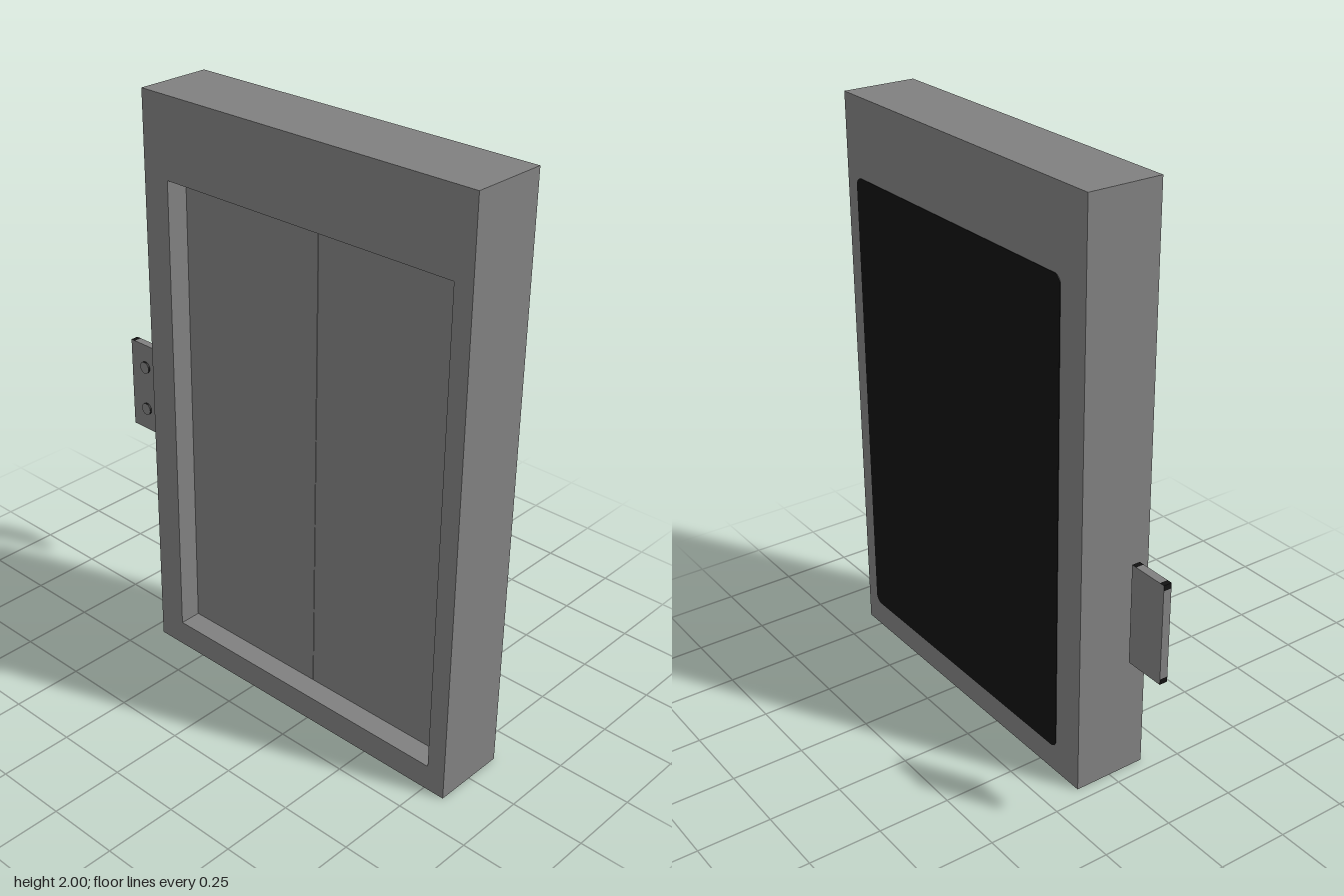
import * as THREE from 'three';

export function createModel() {
  const model = new THREE.Group();
  const grey = new THREE.MeshStandardMaterial({ color: 0x808080 });
  grey.name = 'grey';
  const black = new THREE.MeshStandardMaterial({ color: 0x121212 });
  black.name = 'black';

  const add = (name, geometry, material, parent = model) => {
    const mesh = new THREE.Mesh(geometry, material);
    mesh.name = name;
    parent.add(mesh);
    return mesh;
  };
  // Box given by its extents on each axis
  const box = (name, [x0, x1], [y0, y1], [z0, z1], material, parent) =>
    add(name, new THREE.BoxGeometry(x1 - x0, y1 - y0, z1 - z0), material, parent)
      .position.set((x0 + x1) / 2, (y0 + y1) / 2, (z0 + z1) / 2);
  // Rectangle with rounded corners, drawn in (z, y)
  const outline = (shape, z0, z1, y0, y1, r) => {
    shape.moveTo(z0 + r, y0);
    shape.lineTo(z1 - r, y0);
    if (r) shape.absarc(z1 - r, y0 + r, r, -Math.PI / 2, 0);
    shape.lineTo(z1, y1 - r);
    if (r) shape.absarc(z1 - r, y1 - r, r, 0, Math.PI / 2);
    shape.lineTo(z0 + r, y1);
    if (r) shape.absarc(z0 + r, y1 - r, r, Math.PI / 2, Math.PI);
    shape.lineTo(z0, y0 + r);
    if (r) shape.absarc(z0 + r, y0 + r, r, Math.PI, Math.PI * 1.5);
    return shape;
  };
  // Extrude a (z, y) shape towards -x, starting at x
  const slab = (shape, x, depth) =>
    new THREE.ExtrudeGeometry(shape, { depth, bevelEnabled: false, curveSegments: 6 })
      .rotateY(-Math.PI / 2).translate(x, 0, 0);

  // Door surround with a recessed opening on the -x side
  const left = -0.132, right = 0.13, recess = -0.052;
  const back = -0.452, front = 0.825;
  const z0 = -0.35, z1 = 0.76, y0 = 0.09, y1 = 1.73;
  const surround = outline(new THREE.Shape(), back, front, 0, 2, 0);
  surround.holes.push(outline(new THREE.Path(), z0, z1, y0, y1, 0));
  add('doorFrame', slab(surround, recess, recess - left), grey);
  box('wallBlock', [recess, right], [0, 2], [back, front], grey);

  // Pair of sliding doors meeting in the middle
  const seam = (z0 + z1) / 2;
  for (const [a, b] of [[z0, seam - 0.001], [seam + 0.001, z1]])
    box('slidingDoor', [recess, recess + 0.003 - 0.006].sort((p, q) => p - q), [y0, y1], [a, b], grey);

  // Dark panel with rounded corners on the +x side
  add('darkPanel', slab(outline(new THREE.Shape(), -0.335, 0.77, 0.093, 1.728, 0.028), right + 0.002, 0.002), black);

  // Call panel standing apart, with black corner edges
  const panel = new THREE.Group();
  panel.name = 'callPanel';
  model.add(panel);
  const px = [0.102, 0.13], py = [0.622, 0.957], pz = [-0.825, -0.685], c = 0.018;
  box('callPanelBody', px, py, [pz[0] + c, pz[1] - c], grey, panel);
  const cornerSides = [grey, grey, black, black, black, black];
  for (const z of [pz[0], pz[1] - c]) {
    box('callPanelSide', px, [py[0] + c, py[1] - c], [z, z + c], grey, panel);
    for (const y of [py[0], py[1] - c])
      box('callPanelCorner', px, [y, y + c], [z, z + c], cornerSides, panel);
  }

  // Two round call buttons: black rim, grey cap
  for (const y of [0.705, 0.87])
    add('callButton', new THREE.CylinderGeometry(0.022, 0.022, 0.008, 20).rotateZ(Math.PI / 2),
      [black, grey, grey], panel).position.set(px[0] - 0.003, y, -0.755);

  return model;
}
